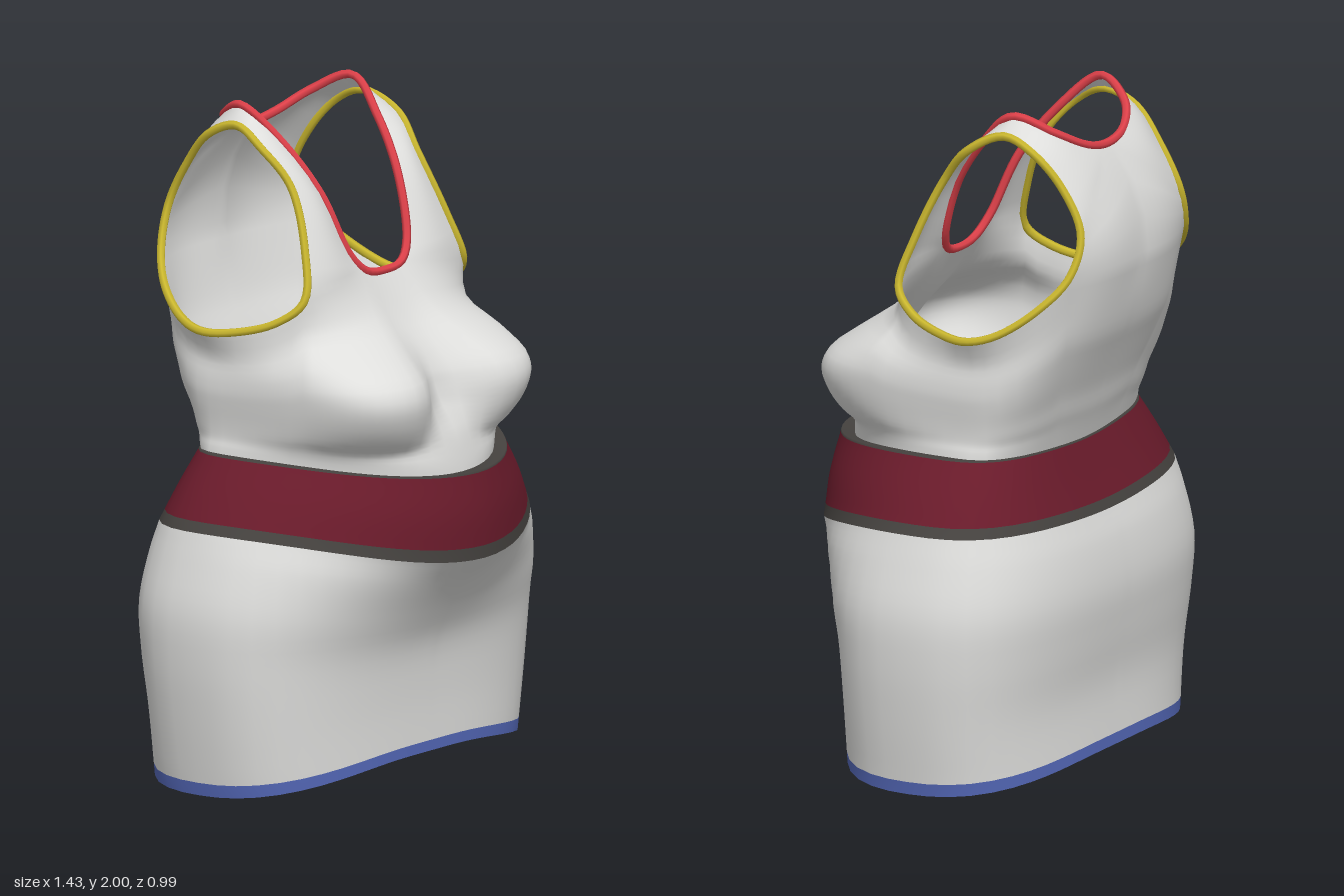
import * as THREE from 'three';
import { mergeVertices } from 'three/addons/utils/BufferGeometryUtils.js';

const V = (x, y, z) => new THREE.Vector3(x, y, z);
const mirror = (p) => V(-p.x, p.y, p.z);
const range = (n, f) => Array.from({ length: n + 1 }, (_, i) => f(i / n, i));

// Smooth shell from grids of points on the +x half, mirrored to the other half
function shell(patches) {
  const pos = [];
  const tri = (a, b, c) => {
    for (const p of [a, b, c, mirror(a), mirror(c), mirror(b)]) pos.push(p.x, p.y, p.z);
  };
  for (const rows of patches) {
    for (let i = 0; i < rows.length - 1; i++) {
      for (let j = 0; j < rows[i].length - 1; j++) {
        const a = rows[i][j], b = rows[i][j + 1], c = rows[i + 1][j + 1], d = rows[i + 1][j];
        tri(a, b, c);
        tri(a, c, d);
      }
    }
  }
  const geo = new THREE.BufferGeometry();
  geo.setAttribute('position', new THREE.Float32BufferAttribute(pos, 3));
  const merged = mergeVertices(geo, 1e-4);
  merged.computeVertexNormals();
  return merged;
}

// Point of a rounded ring around the body; angle 0 is front, PI is back
function ringXZ(angle, zc, w, zf, zb, nf, nb) {
  const s = Math.sin(angle), c = Math.cos(angle);
  const h = c > 0 ? zf - zc : zc - zb;
  const n = c > 0 ? nf : nb;
  const r = (Math.abs(s / w) ** n + Math.abs(c / h) ** n) ** (-1 / n);
  return [Math.abs(angle - Math.PI) < 1e-6 ? 0 : r * s, zc + r * c];
}

// Ring whose height differs at the front, side and back
function ringPoint(angle, [yf, ys, yb, w, zf, zb, nf, nb, sweep]) {
  const [x, z] = ringXZ(angle, -0.06, w, zf, zb, nf, nb);
  const lift = 1 - Math.abs(Math.sin(angle)) ** sweep;
  return V(x, ys + ((Math.cos(angle) > 0 ? yf : yb) - ys) * lift, z);
}

// Grid between two positions on a stack of rings
function band(rings, u0, u1, steps) {
  const columns = range(32, (t) =>
    new THREE.CatmullRomCurve3(rings.map((r) => ringPoint(t * Math.PI, r))));
  return range(steps, (t) => columns.map((c) => c.getPoint(u0 + (u1 - u0) * t)));
}

// Rings: front y, side y, back y, half width, front z, back z,
// front squareness, back squareness, sharpness of the height change at the sides
const BELT_LOW = [0.675, 0.785, 0.765, 0.645, 0.495, -0.39, 1.85, 2.8, 2];
const BELT_TOP = [0.935, 0.99, 0.97, 0.495, 0.47, -0.305, 1.85, 3, 2];
const SKIRT = [
  [0.07, 0.0, 0.05, 0.655, 0.3, -0.412, 2.8, 2.7, 4],
  [0.25, 0.22, 0.24, 0.69, 0.3, -0.405, 2.8, 2.8, 3],
  [0.4, 0.4, 0.4, 0.71, 0.315, -0.425, 2.7, 2.8, 2],
  [0.5, 0.55, 0.54, 0.71, 0.36, -0.437, 2.5, 2.8, 2],
  [0.6, 0.69, 0.68, 0.675, 0.425, -0.418, 2.2, 2.8, 2],
  BELT_LOW,
];
const BELT = [BELT_LOW, [0.81, 0.89, 0.87, 0.575, 0.492, -0.345, 1.85, 2.9, 2], BELT_TOP];
const BELT_LIP = [BELT_TOP, [0.925, 0.985, 0.965, 0.465, 0.415, -0.29, 1.85, 3, 2]];

// Armhole loop: from the front base over the shoulder, down the back and under the arm
const ARM = [
  [0.385, 1.46, 0.12], [0.34, 1.6, 0.09], [0.305, 1.78, 0.01], [0.328, 1.885, -0.08],
  [0.308, 1.938, -0.19], [0.312, 1.9, -0.29], [0.295, 1.8, -0.38], [0.3, 1.67, -0.445],
  [0.35, 1.55, -0.435], [0.425, 1.455, -0.365], [0.48, 1.38, -0.26], [0.5, 1.355, -0.17],
  [0.475, 1.36, -0.07], [0.43, 1.395, 0.05],
].map((p) => V(...p));
const armCurve = new THREE.CatmullRomCurve3(ARM, true);
const armAt = (s) => armCurve.getPoint((s % 14) / 14);

// Neckline loop: from front centre over the shoulder to back centre, then mirrored
const NECK = [
  [0, 1.49, 0.12], [0.085, 1.503, 0.12], [0.138, 1.56, 0.1], [0.185, 1.74, 0.03], [0.23, 1.89, -0.08],
  [0.265, 1.99, -0.2], [0.21, 1.94, -0.31], [0.11, 1.888, -0.36], [0, 1.87, -0.37],
].map((p) => V(...p));
const neckCurve = new THREE.CatmullRomCurve3(
  [...NECK, ...NECK.slice(1, 8).reverse().map(mirror)], true);
const backCentre = new THREE.QuadraticBezierCurve3(NECK[8], V(0, 1.72, -0.49), V(0, 1.55, -0.485));

// Strap and upper back: s runs front base to back base, f neck to armhole
function strapPoint(s, f) {
  const inner = s <= 7 ? neckCurve.getPoint((1 + s) / 16) : backCentre.getPoint(s - 7);
  if (s >= 7) inner.x = 0;
  const p = inner.lerp(armAt(s), f);
  p.z += 0.025 * Math.cos((Math.PI * s) / 8) * Math.sin(Math.PI * f);
  return p;
}

// Bodice rows: height fraction, half width, front z, back z,
// front squareness, back squareness, cleavage depth, rise towards the front centre
const BODICE = [
  [-0.06, 0.472, 0.42, -0.293, 2, 2.6, 0, 0],
  [0.05, 0.465, 0.41, -0.313, 2.2, 2.5, 0, 0],
  [0.11, 0.458, 0.39, -0.325, 2.6, 2.5, 0, 0.08],
  [0.18, 0.457, 0.41, -0.34, 3.2, 2.6, 0.05, 0.1],
  [0.28, 0.46, 0.432, -0.357, 3.9, 2.7, 0.1, 0.07],
  [0.4, 0.466, 0.442, -0.385, 4.4, 2.8, 0.13, 0.03],
  [0.5, 0.47, 0.42, -0.41, 4.3, 2.8, 0.12, 0],
  [0.62, 0.468, 0.335, -0.44, 3.8, 2.8, 0.07, 0],
  [0.78, 0.462, 0.215, -0.465, 3.1, 2.8, 0.02, 0],
];

function bodiceGeometry() {
  // Top edge of the lower bodice: neckline, strap base, underarm, back base
  const top = [
    ...range(3, (t) => neckCurve.getPoint(t / 16)),
    ...range(10, (t) => strapPoint(0, t)).slice(1),
    ...range(12, (t) => armAt(14 - 6 * t)).slice(1),
    ...range(10, (t) => strapPoint(8, 1 - t)).slice(1),
  ];
  const columns = top.map((p) => {
    const angle = p.x < 1e-6 && p.z < 0 ? Math.PI : Math.atan2(p.x, p.z + 0.15);
    const c = Math.cos(angle);
    const waist = 0.985 + ((c > 0 ? 0.93 : 0.97) - 0.985) * c * c;
    const points = BODICE.map(([f, w, zf, zb, nf, nb, notch, rise]) => {
      const [x, z] = ringXZ(angle, -0.15, w, zf, zb, nf, nb);
      const middle = c > 0 ? Math.exp(-((x / 0.13) ** 2)) : 0;
      return V(x, waist + (f + rise * middle) * (p.y - waist), z - notch * middle);
    });
    return new THREE.CatmullRomCurve3([...points, p]);
  });
  const lower = range(27, (t) => columns.map((c) => c.getPoint(t)));
  const straps = range(24, (t) => range(10, (f) => strapPoint(8 * t, f)));
  return shell([lower, straps]);
}

export function createModel() {
  const group = new THREE.Group();
  const material = (name, color) => {
    const m = new THREE.MeshStandardMaterial({ color, side: THREE.DoubleSide });
    m.name = name;
    return m;
  };
  const fabric = material('pale grey fabric', 0xdededc);
  const burgundy = material('burgundy', 0x6a1b2b);
  const charcoal = material('charcoal', 0x45423f);
  const red = material('red', 0xdf414a);
  const yellow = material('yellow', 0xcbb82f);
  const blue = material('blue', 0x5468b8);

  const add = (name, geometry, mat) => {
    const mesh = new THREE.Mesh(geometry, mat);
    mesh.name = name;
    group.add(mesh);
  };

  // Skirt and hem
  add('hemTrim', shell([band(SKIRT, 0, 0.035, 1)]), blue);
  add('skirt', shell([band(SKIRT, 0.035, 1, 20)]), fabric);

  // Belt with dark edges
  add('beltLowerTrim', shell([band(BELT, 0, 0.14, 2)]), charcoal);
  add('belt', shell([band(BELT, 0.14, 0.97, 8)]), burgundy);
  add('beltUpperTrim', shell([band(BELT, 0.97, 1, 1), band(BELT_LIP, 0, 1, 1)]), charcoal);

  // Bodice with shoulder straps
  add('bodice', bodiceGeometry(), fabric);

  // Piping around the neck and arms
  add('necklineTrim', new THREE.TubeGeometry(neckCurve, 96, 0.013, 6, true), red);
  for (const [name, points] of [['leftArmholeTrim', ARM], ['rightArmholeTrim', ARM.map(mirror)]]) {
    const curve = new THREE.CatmullRomCurve3(points, true);
    add(name, new THREE.TubeGeometry(curve, 84, 0.013, 6, true), yellow);
  }
  return group;
}
